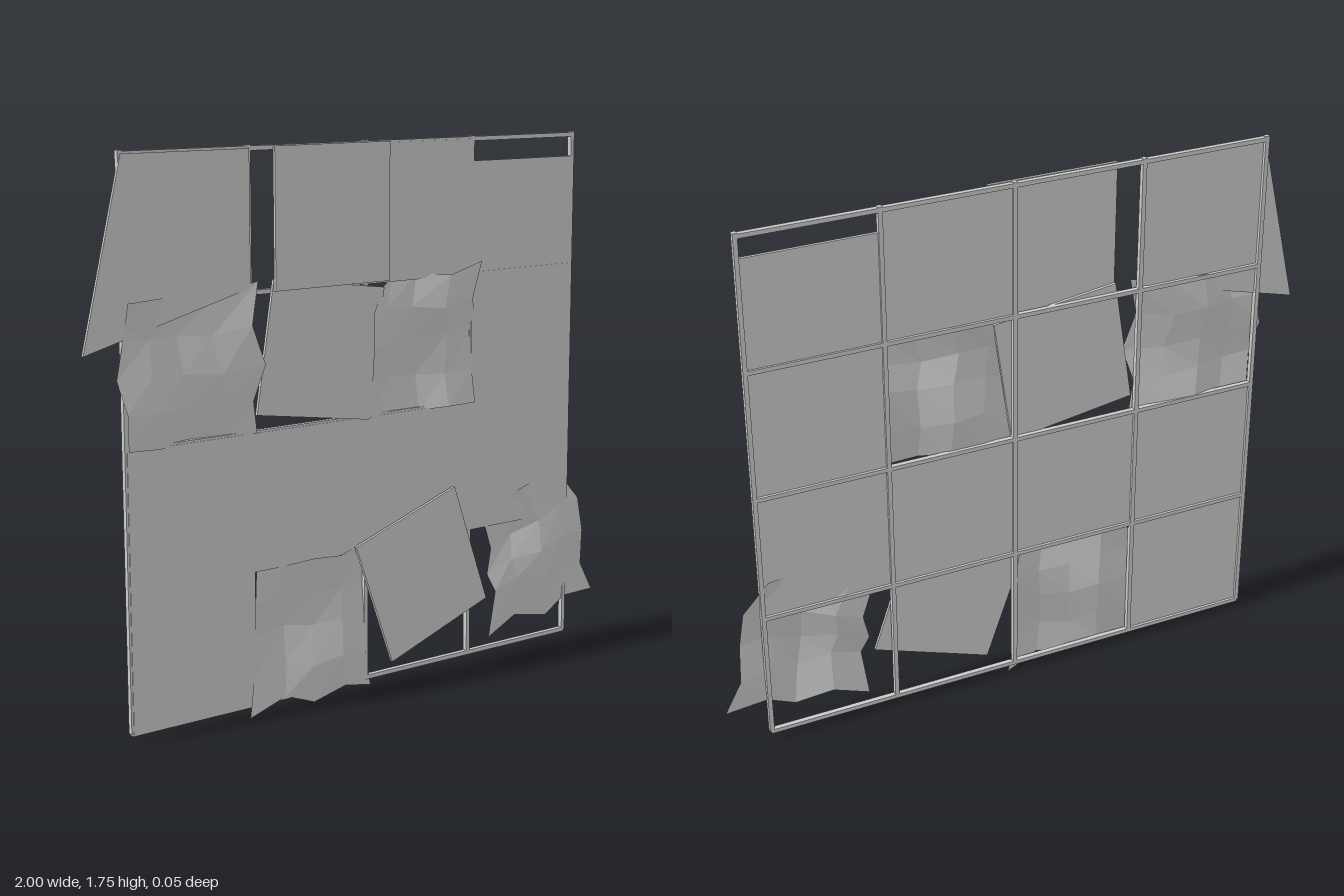
import * as THREE from 'three';

const material = new THREE.MeshStandardMaterial({ color: 0xcccccc, flatShading: true, side: THREE.DoubleSide });
const columns = [-0.865, -0.435, -0.005, 0.42, 0.85];
const rows = [0.035, 0.465, 0.89, 1.315, 1.74];
const THICK = 0.01;

// Flat sheet from its corners, listed as x, y pairs
function panel(corners, z) {
  const shape = new THREE.Shape(corners.map(([x, y]) => new THREE.Vector2(x, y)));
  const geometry = new THREE.ExtrudeGeometry(shape, { depth: THICK, bevelEnabled: false });
  geometry.translate(0, 0, z - THICK / 2);
  return geometry;
}

function rect(x0, y0, x1, y1) {
  return [[x0, y0], [x1, y0], [x1, y1], [x0, y1]];
}

// Crumpled 4 x 4 sheet spanned between four ragged edges of five points:
// top and bottom run left to right, left and right run top to bottom
function crumpled(top, bottom, left, right, seed) {
  const geometry = new THREE.PlaneGeometry(1, 1, 4, 4);
  const p = geometry.attributes.position;
  for (let j = 0; j <= 4; j++) {
    for (let i = 0; i <= 4; i++) {
      const u = i / 4, v = j / 4;
      const at = k => (1 - v) * top[i][k] + v * bottom[i][k] + (1 - u) * left[j][k] + u * right[j][k]
        - (1 - u) * (1 - v) * top[0][k] - u * (1 - v) * top[4][k]
        - (1 - u) * v * bottom[0][k] - u * v * bottom[4][k];
      const z = -0.004 + 0.013 * Math.sin(i * 1.9 + seed) + 0.011 * Math.cos(j * 1.7 + i * 0.6 + seed * 2);
      p.setXYZ(j * 5 + i, at(0), at(1), z);
    }
  }
  geometry.computeVertexNormals();
  return geometry;
}

export function createModel() {
  const model = new THREE.Group();
  const add = (name, geometry) => {
    const mesh = new THREE.Mesh(geometry, material);
    mesh.name = name;
    model.add(mesh);
  };

  // Thin lattice behind the sheets
  const bar = (name, w, h, x, y) =>
    add(name, new THREE.BoxGeometry(w, h, 0.017).translate(x, y, -0.0165));
  columns.forEach(x => bar('uprightBar', 0.014, 1.715, x, 0.8925));
  rows.forEach(y => bar('crossBar', 1.72, 0.014, -0.0075, y));

  // Sheets still sitting squarely in their cells, as column and row
  const square = [[0, 0], [0, 1], [1, 1], [2, 1], [3, 1], [3, 2], [2, 3]];
  square.forEach(([c, r]) =>
    add('squarePanel', panel(rect(columns[c], rows[r], columns[c + 1], rows[r + 1]), -0.011)));

  // Slipped, skewed and turned sheets
  add('droppedPanel', panel(rect(0.42, 1.25, 0.85, 1.67), -0.013));
  add('slippedPanel', panel(rect(-0.355, 1.315, 0.073, 1.745), 0.006));
  add('skewedPanel', panel([[-1, 1.18], [-0.435, 1.33], [-0.435, 1.74], [-0.865, 1.74]], -0.009));
  add('tiltedPanel', panel([[-0.42, 0.945], [0, 0.882], [0.06, 1.295], [-0.355, 1.35]], -0.005));
  add('hangingPanel', panel([[0.085, 0.075], [0.48, 0.22], [0.34, 0.62], [-0.06, 0.48]], 0.008));

  // Crumpled sheets
  add('upperLeftCrumpledPanel', crumpled(
    [[-0.86, 1.32], [-0.77, 1.325], [-0.67, 1.325], [-0.55, 1.315], [-0.41, 1.35]],
    [[-0.865, 0.89], [-0.76, 0.885], [-0.65, 0.89], [-0.54, 0.885], [-0.42, 0.89]],
    [[-0.86, 1.32], [-0.87, 1.21], [-0.895, 1.1], [-0.87, 1], [-0.865, 0.89]],
    [[-0.41, 1.35], [-0.44, 1.22], [-0.4, 1.1], [-0.435, 0.99], [-0.42, 0.89]], 0.4));
  add('upperRightCrumpledPanel', crumpled(
    [[0.05, 1.29], [0.1, 1.32], [0.2, 1.325], [0.32, 1.315], [0.45, 1.35]],
    [[-0.005, 0.885], [0.1, 0.89], [0.21, 0.885], [0.31, 0.89], [0.425, 0.89]],
    [[0.05, 1.29], [0.01, 1.21], [0.005, 1.1], [0.01, 1], [-0.005, 0.885]],
    [[0.45, 1.35], [0.415, 1.23], [0.44, 1.15], [0.42, 1], [0.425, 0.89]], 1.6));
  add('lowerLeftCrumpledPanel', crumpled(
    [[-0.435, 0.465], [-0.33, 0.46], [-0.22, 0.47], [-0.12, 0.465], [-0.03, 0.48]],
    [[-0.465, 0.002], [-0.32, 0.038], [-0.22, 0.002], [-0.1, 0.033], [0.02, 0.003]],
    [[-0.435, 0.465], [-0.44, 0.36], [-0.43, 0.25], [-0.44, 0.12], [-0.465, 0.002]],
    [[-0.03, 0.48], [0, 0.36], [-0.01, 0.25], [-0.012, 0.12], [0.02, 0.003]], 2.7));
  add('lowerRightCrumpledPanel', crumpled(
    [[0.465, 0.52], [0.55, 0.535], [0.65, 0.575], [0.75, 0.595], [0.83, 0.597]],
    [[0.51, 0.07], [0.635, 0.125], [0.76, 0.105], [0.855, 0.155], [0.997, 0.153]],
    [[0.465, 0.52], [0.525, 0.375], [0.505, 0.29], [0.53, 0.23], [0.51, 0.07]],
    [[0.83, 0.597], [0.913, 0.495], [0.93, 0.38], [0.94, 0.255], [0.997, 0.153]], 3.6));

  return model;
}
